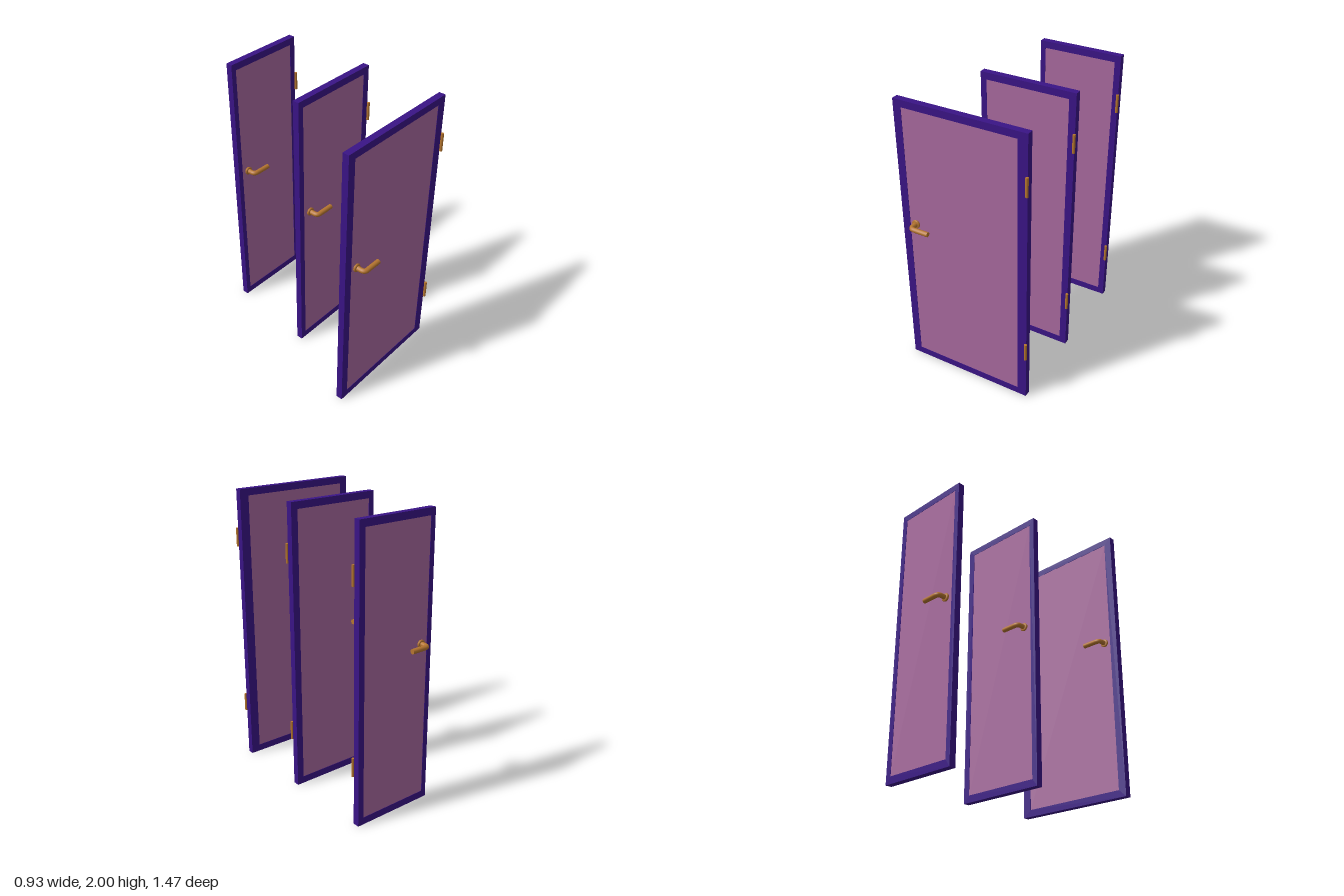
import * as THREE from 'three';

const frameMat = new THREE.MeshStandardMaterial({ color: 0x3a1486 });
const panelMat = new THREE.MeshStandardMaterial({ color: 0xa8699e });
const brassMat = new THREE.MeshStandardMaterial({ color: 0xb5752f });

const HEIGHT = 2, THICK = 0.046, RIGHT = 0.453, HANDLE_Y = 1.139;

function add(parent, name, geometry, material, x = 0, y = 0, z = 0) {
  const mesh = new THREE.Mesh(geometry, material);
  mesh.name = name;
  mesh.position.set(x, y, z);
  parent.add(mesh);
  return mesh;
}

function rectangle(target, x0, y0, x1, y1) {
  target.moveTo(x0, y0);
  target.lineTo(x1, y0);
  target.lineTo(x1, y1);
  target.lineTo(x0, y1);
  target.closePath();
  return target;
}

// Lever with rosette, growing out towards +z; flipped for the back of the door
function createHandle(flip) {
  const handle = new THREE.Group();
  handle.name = flip ? 'backHandle' : 'frontHandle';
  const s = flip ? -1 : 1;
  const v = (x, z) => new THREE.Vector3(x, 0, z * s);

  const rosette = add(handle, 'rosette', new THREE.LatheGeometry([
    [0, 0.015], [0.025, 0.015], [0.029, 0.026], [0.029, 0.031], [0.023, 0.036], [0, 0.036],
  ].map(([r, h]) => new THREE.Vector2(r, h)), 20), brassMat);
  rosette.rotation.x = s * Math.PI / 2;

  const path = new THREE.CurvePath();
  path.add(new THREE.LineCurve3(v(0, 0.02), v(0, 0.066)));
  path.add(new THREE.QuadraticBezierCurve3(v(0, 0.066), v(0.002, 0.087), v(0.024, 0.089)));
  path.add(new THREE.LineCurve3(v(0.024, 0.089), v(0.135, 0.089)));
  add(handle, 'lever', new THREE.TubeGeometry(path, 40, 0.017, 14), brassMat);

  const cap = add(handle, 'leverEnd', new THREE.CircleGeometry(0.017, 14), brassMat, 0.135, 0, 0.089 * s);
  cap.rotation.y = Math.PI / 2;
  return handle;
}

function createDoor(name, left, z, handleX) {
  const door = new THREE.Group();
  door.name = name;
  door.position.z = z;

  // Frame borders narrow together with the door
  const scale = (RIGHT - left) / 0.918;
  const x0 = left + 0.056 * scale, x1 = RIGHT - 0.066 * scale;
  const y0 = 0.05, y1 = HEIGHT - 0.048;

  const outline = rectangle(new THREE.Shape(), left, 0, RIGHT, HEIGHT);
  outline.holes.push(rectangle(new THREE.Path(), x0, y0, x1, y1));
  add(door, 'frame', new THREE.ExtrudeGeometry(outline, { depth: THICK, bevelEnabled: false }),
    frameMat, 0, 0, -THICK / 2);

  add(door, 'panel', new THREE.BoxGeometry(x1 - x0, y1 - y0, THICK - 0.004),
    panelMat, (x0 + x1) / 2, (y0 + y1) / 2, 0);

  // Hinge barrels on the front corner
  for (const y of [0.41, 1.665]) {
    add(door, 'hinge', new THREE.CylinderGeometry(0.01, 0.01, 0.13, 12), brassMat, RIGHT, y, 0.033);
  }

  for (const flip of [false, true]) {
    const handle = createHandle(flip);
    handle.position.set(handleX, HANDLE_Y, 0);
    door.add(handle);
  }
  return door;
}

export function createModel() {
  const model = new THREE.Group();
  model.name = 'doors';
  model.add(createDoor('wideDoor', -0.465, 0.627, -0.361));
  model.add(createDoor('mediumDoor', -0.222, 0.032, -0.123));
  model.add(createDoor('narrowDoor', -0.144, -0.63, -0.054));
  return model;
}
